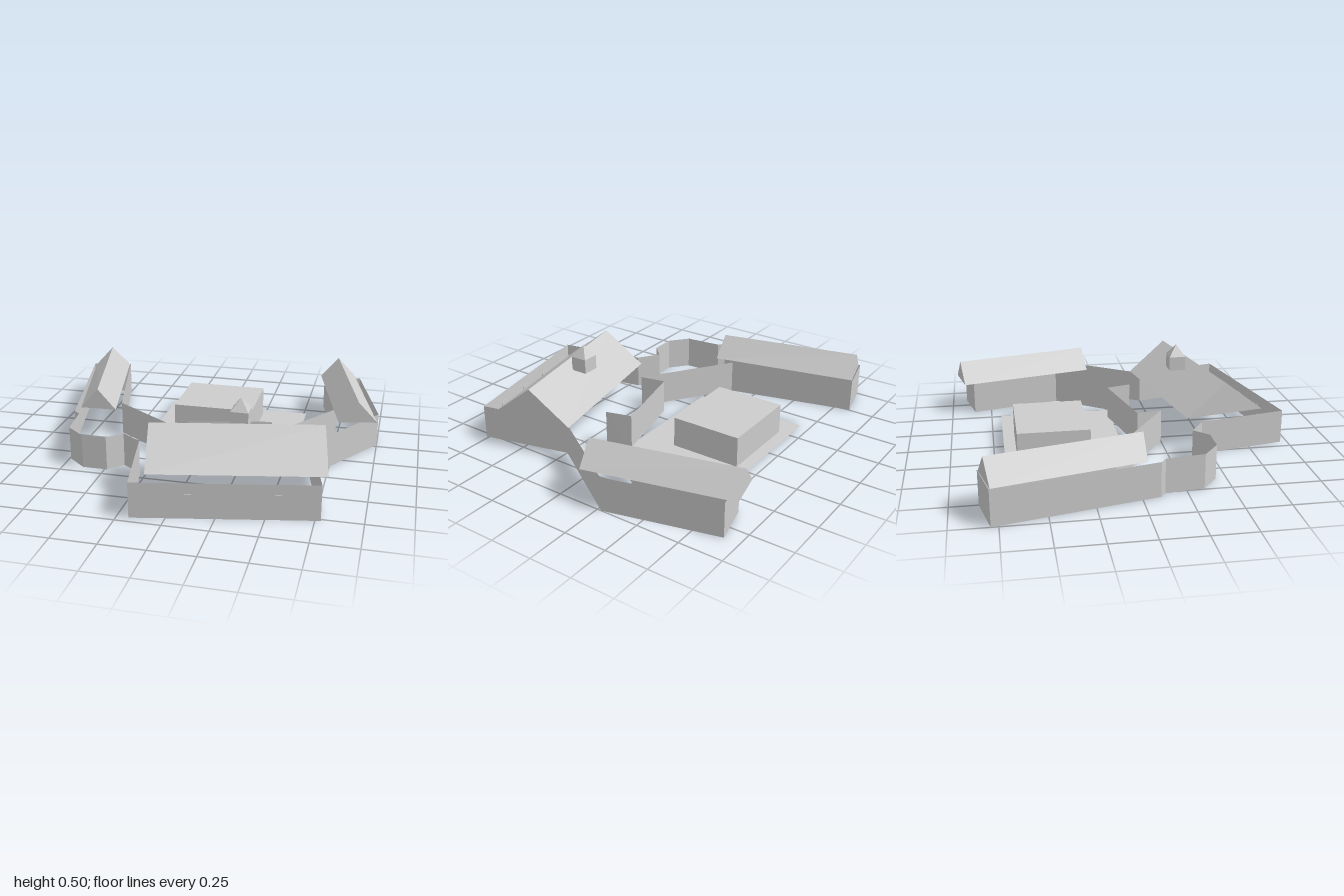
import * as THREE from 'three';

const stone = new THREE.MeshStandardMaterial({ name: 'lightGrey', color: 0xcccccc, side: THREE.DoubleSide });

const WALL = 0.2; // height of all walls and eaves

function mesh(name, geometry) {
  const m = new THREE.Mesh(geometry, stone);
  m.name = name;
  return m;
}

// Flat-shaded mesh from a list of polygons (each a list of [x, y, z] corners)
function facets(name, polygons) {
  const pos = [];
  for (const p of polygons) {
    for (let i = 1; i < p.length - 1; i++) pos.push(...p[0], ...p[i], ...p[i + 1]);
  }
  const g = new THREE.BufferGeometry();
  g.setAttribute('position', new THREE.Float32BufferAttribute(pos, 3));
  g.computeVertexNormals();
  return mesh(name, g);
}

// Open vertical wall sheet following a plan path of [x, z] points
function wall(name, path) {
  return facets(name, path.slice(1).map(([x, z], i) => {
    const [px, pz] = path[i];
    return [[px, 0, pz], [x, 0, z], [x, WALL, z], [px, WALL, pz]];
  }));
}

// Gable roof over four plan corners; the gables stand on corners 0-3 and 1-2
function gableRoof(name, corners, ridgeY) {
  const [a, b, c, d] = corners.map(([x, z]) => [x, WALL, z]);
  const mid = (p, q) => [(p[0] + q[0]) / 2, ridgeY, (p[2] + q[2]) / 2];
  const r0 = mid(a, d), r1 = mid(b, c);
  return facets(name, [
    [d, c, r1, r0], [b, a, r0, r1], // slopes
    [a, d, r0], [c, b, r1],         // gables
    [a, b, c, d],                   // underside
  ]);
}

export function createModel() {
  const model = new THREE.Group();
  model.name = 'courtyardBuilding';

  // Walls, running around the whole plan
  const frontLeft = [-0.185, 0.96], frontRight = [0.78, 0.765];
  model.add(
    wall('mainHallWalls', [[-0.285, 0.445], frontLeft, frontRight, [0.655, 0.25]]),
    wall('leftWingWalls', [[0.655, 0.25], [1, -0.275], [0.84, -0.91], [0.61, -0.855], [0.745, -0.31], [0.43, 0.14]]),
    wall('courtyardWalls', [[0.43, 0.14], [0.39, -0.01], [-0.09, 0.1], [-0.06, 0.25]]),
    wall('rightWingWalls', [[-0.06, 0.25], [-0.57, -0.1], [-0.755, -0.845], [-1, -0.79], [-0.805, 0.1], [-0.765, 0.13]]),
    wall('cornerTowerWalls', [[-0.765, 0.13], [-0.74, 0.35], [-0.63, 0.44], [-0.485, 0.44], [-0.405, 0.36], [-0.285, 0.445]]),
  );

  // Roofs
  model.add(
    gableRoof('mainRoof', [[-0.22, 0.37], [0.7, 0.19], [0.8, 0.66], [-0.13, 0.85]], 0.39),
    gableRoof('leftWingRoof', [[0.8, -0.96], [1, -0.14], [0.775, -0.095], [0.58, -0.91]], 0.325),
    gableRoof('rightWingRoof', [[-0.76, -0.84], [-0.57, 0.02], [-0.79, -0.03 + 0.0], [-0.985, -0.785]].map(
      ([x, z], i) => (i === 2 ? [x, -0.03 * -1] : i === 1 ? [x, 0.02] : [x, z])), 0.325),
  );

  // Roof turret with a pyramid cap
  const turret = new THREE.Group();
  turret.name = 'turret';
  turret.position.set(0.288, 0, 0.411);
  const turretBase = mesh('turretBase', new THREE.BoxGeometry(0.1, 0.085, 0.1));
  turretBase.position.y = 0.3875;
  const capGeometry = new THREE.ConeGeometry(0.0707, 0.07, 4).toNonIndexed();
  capGeometry.computeVertexNormals();
  const turretCap = mesh('turretCap', capGeometry);
  turretCap.rotation.y = Math.PI / 4;
  turretCap.position.y = 0.465;
  turret.add(turretBase, turretCap);
  model.add(turret);

  // Narrow window plates along the front wall
  const dx = frontRight[0] - frontLeft[0], dz = frontRight[1] - frontLeft[1];
  for (const t of [0.08, 0.32, 0.55, 0.79]) {
    const pane = mesh('frontWindow', new THREE.BoxGeometry(0.055, 0.1, 0.004));
    pane.position.set(frontLeft[0] + dx * t, 0.09, frontLeft[1] + dz * t);
    pane.rotation.y = Math.atan2(-dz, dx);
    model.add(pane);
  }

  // Rear yard slab with a flat block on it
  const slab = mesh('yardSlab', new THREE.PlaneGeometry(0.91, 0.7));
  slab.rotation.x = -Math.PI / 2;
  slab.position.set(0.06, 0, -0.34);
  const block = mesh('yardBlock', new THREE.BoxGeometry(0.49, 0.18, 0.42));
  block.position.set(-0.01, 0.09, -0.41);
  model.add(slab, block);

  return model;
}
